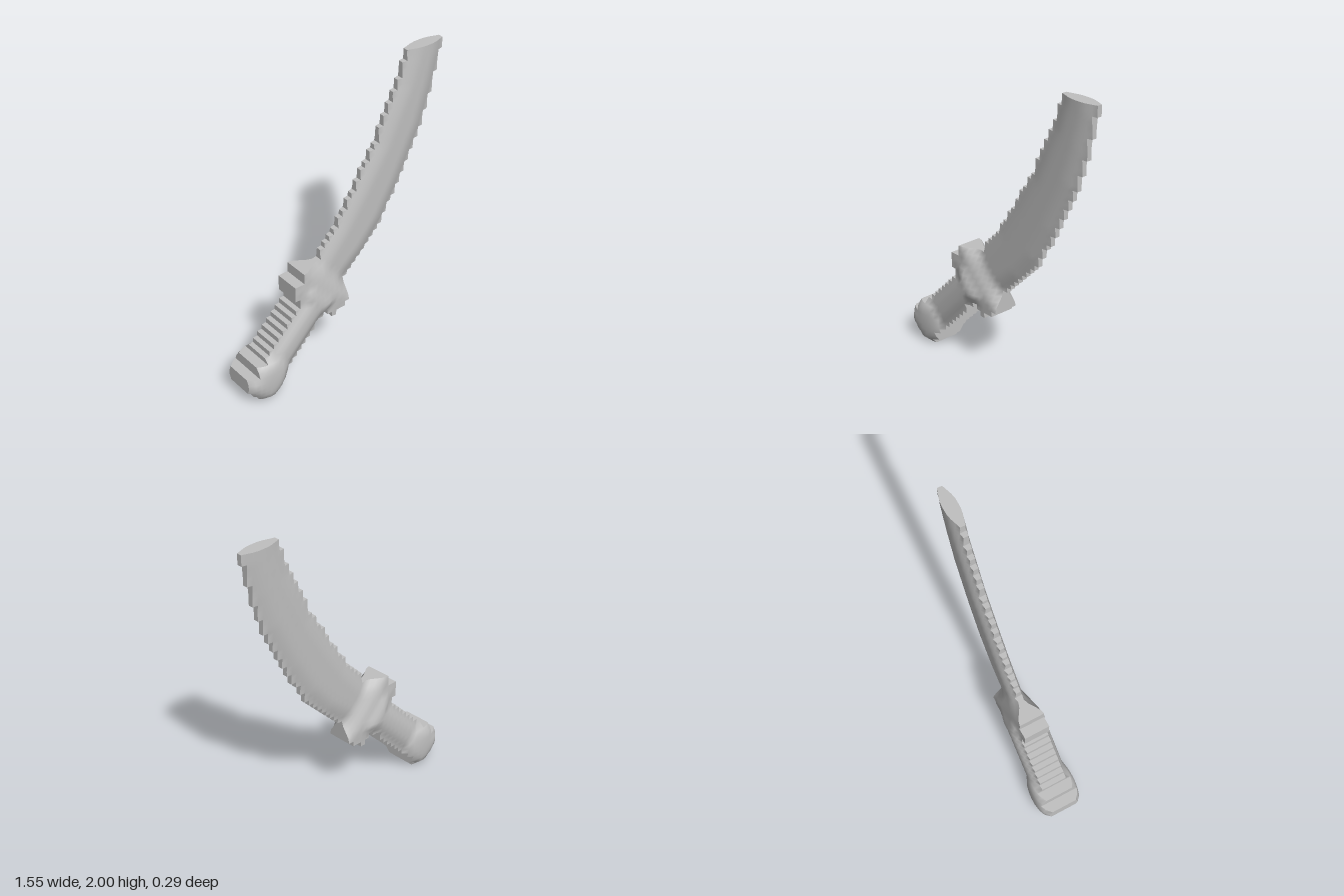
import * as THREE from 'three';

const CELL = 2 / 58, COLS = 45, ROWS = 58, X0 = -COLS * CELL / 2;

// Sabre outline, run past the blade end so the end is cut square
const outline = [
  // back of the blade, downwards
  [0.58, 2.25], [0.50, 1.97], [0.44, 1.80], [0.36, 1.64], [0.27, 1.45], [0.12, 1.21], [-0.02, 1.0], [-0.18, 0.8],
  // upper guard arm
  [-0.30, 0.80], [-0.33, 0.73], [-0.40, 0.705], [-0.40, 0.66], [-0.335, 0.585],
  // grip and pommel
  [-0.62, 0.30], [-0.71, 0.26], [-0.71, 0.205], [-0.79, 0.205], [-0.79, 0.11], [-0.70, 0.05], [-0.67, 0],
  [-0.67, -0.01], [-0.575, -0.01], [-0.56, 0.035], [-0.48, 0.15], [-0.21, 0.43],
  // lower guard arm
  [-0.15, 0.44], [-0.13, 0.385], [-0.09, 0.385], [-0.02, 0.44], [0.015, 0.48], [0.02, 0.58],
  // cutting edge, upwards
  [0.17, 0.71], [0.32, 0.89], [0.46, 1.13], [0.62, 1.46], [0.70, 1.70], [0.76, 1.92], [0.80, 2.25],
];

function inside(x, y) {
  let hit = false;
  outline.forEach(([ax, ay], i) => {
    const [bx, by] = outline[(i + 1) % outline.length];
    if ((ay > y) !== (by > y) && x < ax + (bx - ax) * (y - ay) / (by - ay)) hit = !hit;
  });
  return hit;
}

function edgeDistance(x, y) {
  if (!inside(x, y)) return 0;
  let best = Infinity;
  outline.forEach(([ax, ay], i) => {
    const [bx, by] = outline[(i + 1) % outline.length];
    const dx = bx - ax, dy = by - ay;
    const t = THREE.MathUtils.clamp(((x - ax) * dx + (y - ay) * dy) / (dx * dx + dy * dy), 0, 1);
    best = Math.min(best, Math.hypot(x - ax - t * dx, y - ay - t * dy));
  });
  return best;
}

const { smoothstep, lerp } = THREE.MathUtils;
const along = (x, y) => (x + y) * Math.SQRT1_2; // position along the grip

// Half thickness: a rim value swelling to a middle value
function thickness(x, y) {
  const u = along(x, y), v = Math.abs((x - y) * Math.SQRT1_2 + 0.55);
  const toBlade = smoothstep(u, 0.33, 0.43);
  const rim = lerp(0.085, 0.016, toBlade);
  let mid = lerp(0.12, 0.09, smoothstep(u, 0.22, 0.32));
  if (u > 0.1) mid = lerp(mid, 0.09, smoothstep(v, 0.08, 0.15)); // guard arms
  mid = lerp(mid, 0.045, smoothstep(u, 0.31, 0.44));
  const width = lerp(0.085, 0.11, toBlade);
  const swell = Math.sin(Math.min(1, edgeDistance(x, y) / width) * Math.PI / 2);
  const h = rim + (mid - rim) * swell;
  // round pommel knob
  const r = Math.hypot(x + 0.63, y - 0.15) / 0.15;
  return r < 1 ? Math.max(h, lerp(h, 0.147, Math.pow(1 - r * r, 0.6))) : h;
}

const filled = (i, j) => i >= 0 && j >= 0 && i < COLS && j < ROWS
  && inside(X0 + (i + 0.5) * CELL, (j + 0.5) * CELL);

// One part: swollen faces front and back, with stepped walls round the rim
function buildPart(name, from, to, material) {
  const pos = [], nor = [];
  const corner = (i, j, side) => {
    const x = X0 + i * CELL, y = j * CELL;
    return new THREE.Vector3(x, y, side * thickness(x, y));
  };
  const slope = (p, side) => {
    const e = 0.02;
    return new THREE.Vector3(
      (thickness(p.x - e, p.y) - thickness(p.x + e, p.y)) / (2 * e),
      (thickness(p.x, p.y - e) - thickness(p.x, p.y + e)) / (2 * e), side).normalize();
  };
  const quad = (p, normals) => [0, 1, 2, 0, 2, 3].forEach((k) => {
    pos.push(...p[k].toArray());
    nor.push(...normals[k].toArray());
  });
  for (let j = 0; j < ROWS; j++) for (let i = 0; i < COLS; i++) {
    const u = along(X0 + (i + 0.5) * CELL, (j + 0.5) * CELL);
    if (u < from || u >= to || !filled(i, j)) continue;
    const ring = [[i, j], [i + 1, j], [i + 1, j + 1], [i, j + 1]];
    for (const side of [1, -1]) {
      const p = ring.map(([a, b]) => corner(a, b, side));
      if (side < 0) p.reverse();
      quad(p, p.map((q) => slope(q, side)));
    }
    // wall wherever the neighbouring cell is empty
    [[0, -1], [1, 0], [0, 1], [-1, 0]].forEach(([dx, dy], k) => {
      if (filled(i + dx, j + dy)) return;
      const a = ring[k], b = ring[(k + 1) % 4];
      const n = new THREE.Vector3(dx, dy, 0);
      quad([corner(...a, -1), corner(...b, -1), corner(...b, 1), corner(...a, 1)], [n, n, n, n]);
    });
  }
  const geometry = new THREE.BufferGeometry();
  geometry.setAttribute('position', new THREE.Float32BufferAttribute(pos, 3));
  geometry.setAttribute('normal', new THREE.Float32BufferAttribute(nor, 3));
  const mesh = new THREE.Mesh(geometry, material);
  mesh.name = name;
  return mesh;
}

export function createModel() {
  const group = new THREE.Group();
  group.name = 'sabre';
  const steel = new THREE.MeshStandardMaterial({ color: 0xc0c0c0 });
  steel.name = 'grey steel';
  group.add(
    buildPart('pommel', -9, -0.25, steel),
    buildPart('grip', -0.25, 0.17, steel),
    buildPart('guard', 0.17, 0.42, steel),
    buildPart('blade', 0.42, 9, steel),
  );
  return group;
}
